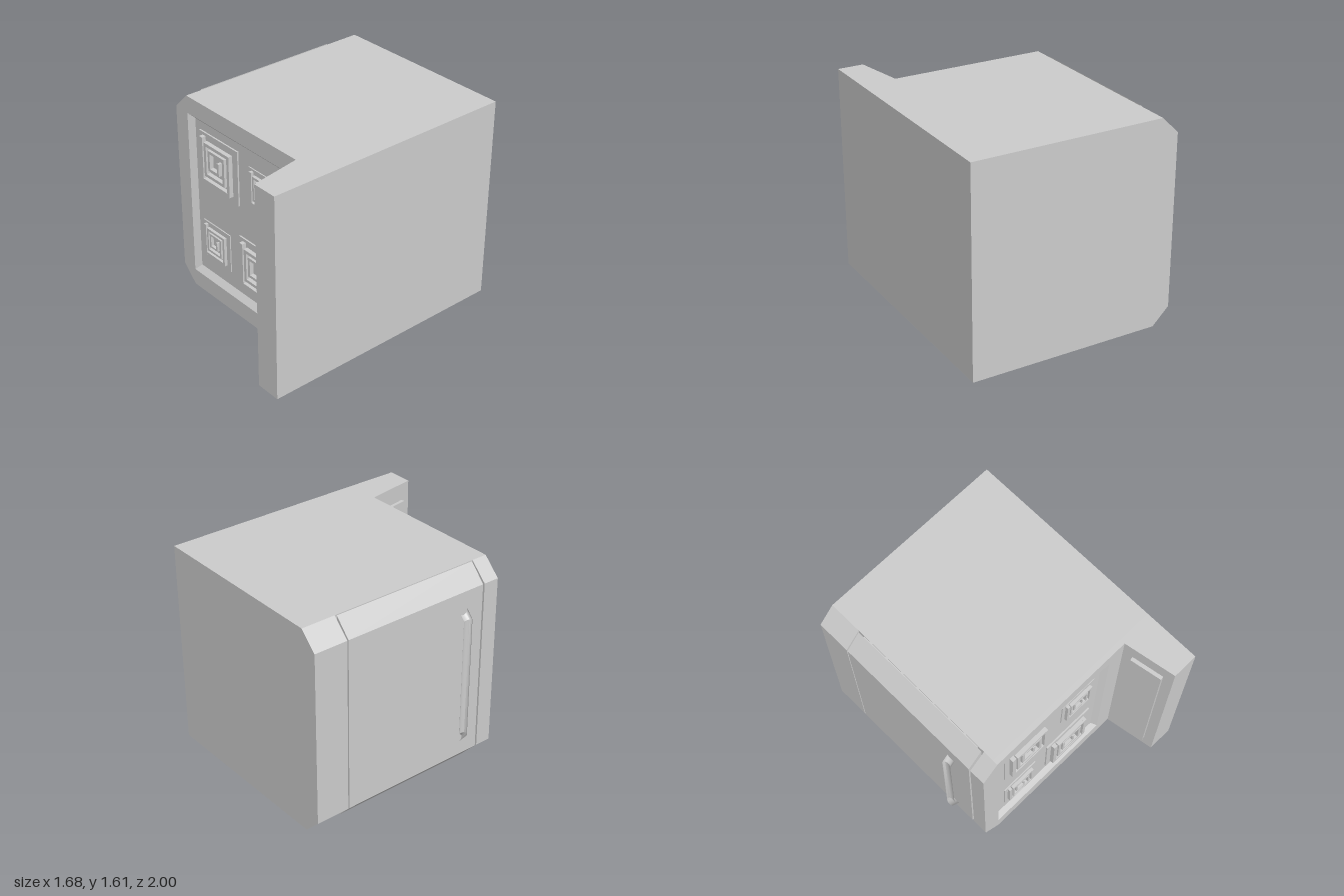
import * as THREE from 'three';
import { toCreasedNormals } from 'three/addons/utils/BufferGeometryUtils.js';
import { ParametricGeometry } from 'three/addons/geometries/ParametricGeometry.js';

const grey = new THREE.MeshStandardMaterial({ color: 0xcccccc });
const H = 1.61;

function add(parent, name, geometry) {
  const mesh = new THREE.Mesh(geometry, grey);
  mesh.name = name;
  parent.add(mesh);
  return mesh;
}

// Box given by its limits on each axis
function box(x0, x1, y0, y1, z0, z1) {
  return new THREE.BoxGeometry(x1 - x0, y1 - y0, z1 - z0)
    .translate((x0 + x1) / 2, (y0 + y1) / 2, (z0 + z1) / 2);
}

const shapeOf = (pts) => new THREE.Shape(pts.map(([x, y]) => new THREE.Vector2(x, y)));

// Outline in x and y, pushed from z0 to z1
function slab(shape, z0, z1) {
  return new THREE.ExtrudeGeometry(shape, { depth: z1 - z0, bevelEnabled: false }).translate(0, 0, z0);
}

// Chamfered edge strip on the -x side
const chamfer = (xIn) => shapeOf([[-0.77, 0.13], [xIn, 0], [xIn, H], [-0.77, 1.48]]);

// Sloping walls around the recess
function recessWalls(z0, z1) {
  const o = [[-0.635, 0.135], [0.435, 0.135], [0.435, 1.475], [-0.635, 1.475]];
  const n = [[-0.597, 0.18], [0.4, 0.18], [0.4, 1.435], [-0.597, 1.435]];
  const pos = [];
  for (let i = 0; i < 4; i++) {
    const j = (i + 1) % 4;
    const a = [...o[i], z1], b = [...o[j], z1], c = [...n[j], z0], d = [...n[i], z0];
    pos.push(...a, ...b, ...c, ...a, ...c, ...d);
  }
  const g = new THREE.BufferGeometry();
  g.setAttribute('position', new THREE.Float32BufferAttribute(pos, 3));
  g.computeVertexNormals();
  return g;
}

// Square plate with a square spiral coil, facing +z
function burner(name, x, y, s) {
  const g = new THREE.Group();
  g.name = name;
  add(g, 'burnerPlate', box(-0.22, 0.22, -0.22, 0.22, 0, 0.012));
  const path = [
    [-0.161, 0.179], [-0.161, -0.152], [0.148, -0.152], [0.148, 0.152], [-0.116, 0.152],
    [-0.116, -0.096], [0.094, -0.096], [0.094, 0.107], [-0.072, 0.107], [-0.072, -0.036],
    [0.031, -0.036], [0.031, 0.045],
  ];
  for (let i = 0; i < path.length - 1; i++) {
    const [ax, ay] = path[i], [bx, by] = path[i + 1];
    const w = (i === 0 ? 0.034 : 0.028 - i * 0.0008) / 2;
    add(g, 'burnerCoil', box(Math.min(ax, bx) - w, Math.max(ax, bx) + w,
      Math.min(ay, by) - w, Math.max(ay, by) + w, 0.01, 0.045));
  }
  g.position.set(x, y, 0.56);
  g.scale.setScalar(s);
  return g;
}

// Bent bar with an oval section, mitred at its corners
function handleGeometry() {
  const out = [[-0.765, 1.375], [-0.84, 1.285], [-0.84, 0.32], [-0.765, 0.23]];
  const inn = [[-0.765, 1.305], [-0.8, 1.27], [-0.8, 0.335], [-0.765, 0.3]];
  const g = new ParametricGeometry((u, v, t) => {
    const i = Math.round(v * 3), a = u * Math.PI * 2, k = (1 + Math.cos(a)) / 2;
    t.set(
      inn[i][0] + (out[i][0] - inn[i][0]) * k,
      inn[i][1] + (out[i][1] - inn[i][1]) * k,
      0.285 + Math.sin(a) * 0.035,
    );
  }, 16, 3);
  return toCreasedNormals(g, 0.6);
}

export function createModel() {
  const model = new THREE.Group();
  model.name = 'stove';

  // Body and the fixed strips on either side of the door
  add(model, 'body', box(-0.64, 0.84, 0, H, -1, 0.56));
  add(model, 'lowerStrip', slab(chamfer(-0.64), -1, -0.735));
  add(model, 'upperStrip', slab(chamfer(-0.64), 0.475, 0.56));

  // Cooktop frame with its recess
  const top = shapeOf([[-0.77, 0.13], [-0.64, 0], [0.84, 0], [0.84, H], [-0.64, H], [-0.77, 1.48]]);
  top.holes.push(new THREE.Path(
    [[-0.635, 0.135], [-0.635, 1.475], [0.435, 1.475], [0.435, 0.135]].map((p) => new THREE.Vector2(...p))));
  add(model, 'cooktopFrame', slab(top, 0.56, 0.6));
  add(model, 'recessWalls', recessWalls(0.56, 0.6));

  // Four burners, two large and two small
  model.add(
    burner('largeBurner', -0.32, 1.15, 1),
    burner('smallBurner', 0.18, 1.15, 0.715),
    burner('smallBurner', -0.38, 0.463, 0.715),
    burner('largeBurner', 0.115, 0.463, 1),
  );

  // Oven door, its seal and handle
  add(model, 'door', slab(chamfer(-0.65), -0.725, 0.46));
  add(model, 'doorSeal', box(-0.655, -0.64, 0.01, H - 0.01, -0.68, 0.42));
  add(model, 'doorHandle', handleGeometry());

  // Sloping back panel: profile in x and z, run along y
  const back = shapeOf([[0.57, -0.6], [0.84, -0.6], [0.84, -1], [0.64, -1]]);
  add(model, 'backPanel', slab(back, 0, H).rotateX(-Math.PI / 2));

  // Control strip on the slope
  const strip = add(model, 'controlStrip', new THREE.BoxGeometry(0.03, 1.335, 0.25));
  strip.position.set(0.592, 0.807, 0.802);
  strip.rotation.y = Math.atan2(0.07, 0.4);

  return model;
}
